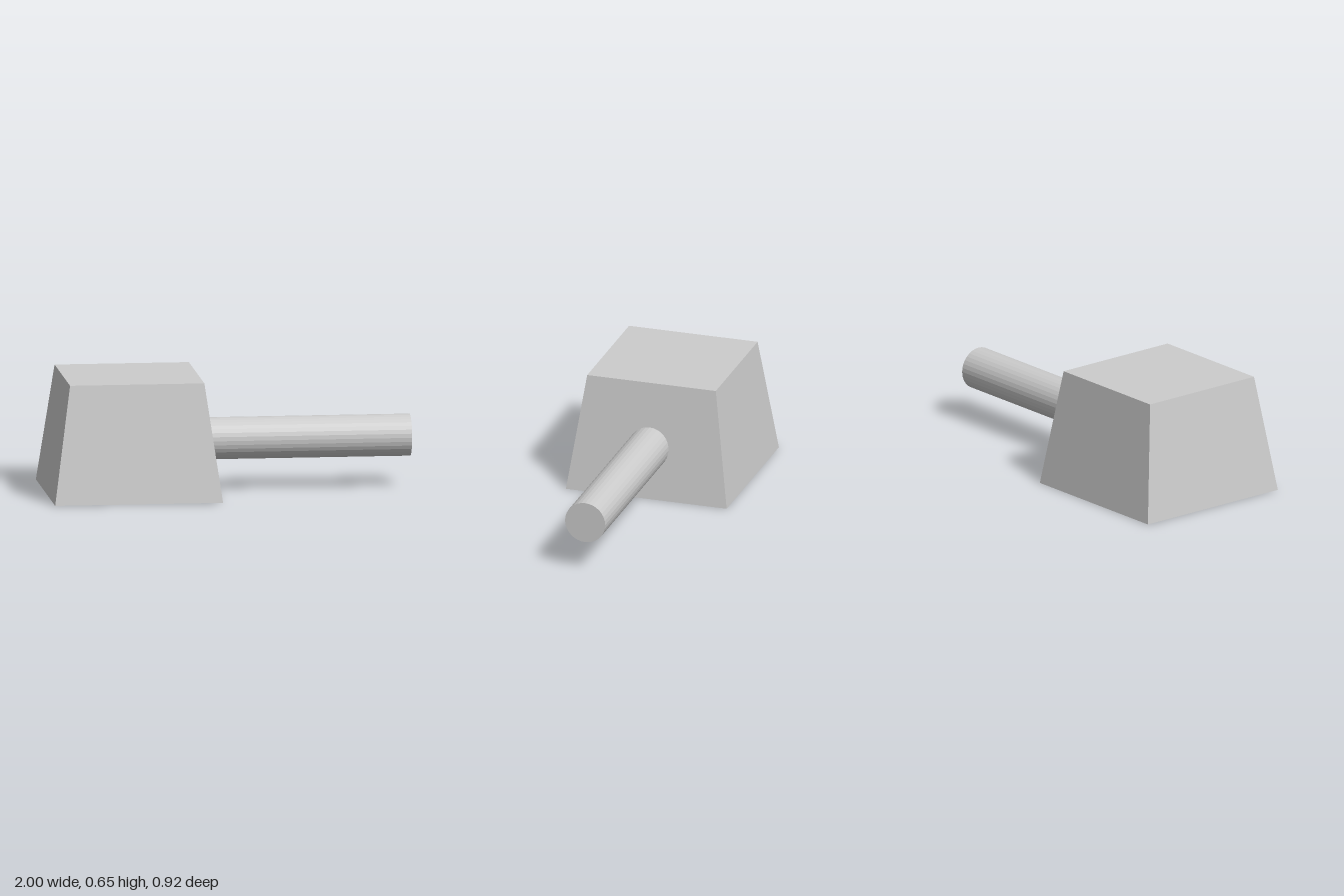
import * as THREE from 'three';

export function createModel() {
  const group = new THREE.Group();
  const material = new THREE.MeshStandardMaterial({ color: 0xcccccc, flatShading: true });

  // Head: a box whose top face is drawn in to make four sloping sides
  const base = 0.922, height = 0.647, taper = 0.8;
  const headGeometry = new THREE.BoxGeometry(base, height, base);
  const p = headGeometry.attributes.position;
  for (let i = 0; i < p.count; i++) {
    if (p.getY(i) > 0) {
      p.setX(i, p.getX(i) * taper);
      p.setZ(i, p.getZ(i) * taper);
    }
  }
  headGeometry.computeVertexNormals();
  const head = new THREE.Mesh(headGeometry, material);
  head.name = 'head';
  head.position.set(-1 + base / 2, height / 2, 0);
  group.add(head);

  // Handle: a round bar set into the sloping side of the head
  const start = -0.16, end = 1;
  const handleGeometry = new THREE.CylinderGeometry(0.115, 0.115, end - start, 32);
  handleGeometry.rotateZ(-Math.PI / 2);
  const handle = new THREE.Mesh(handleGeometry, material);
  handle.name = 'handle';
  handle.position.set((start + end) / 2, 0.284, 0);
  group.add(handle);

  return group;
}
